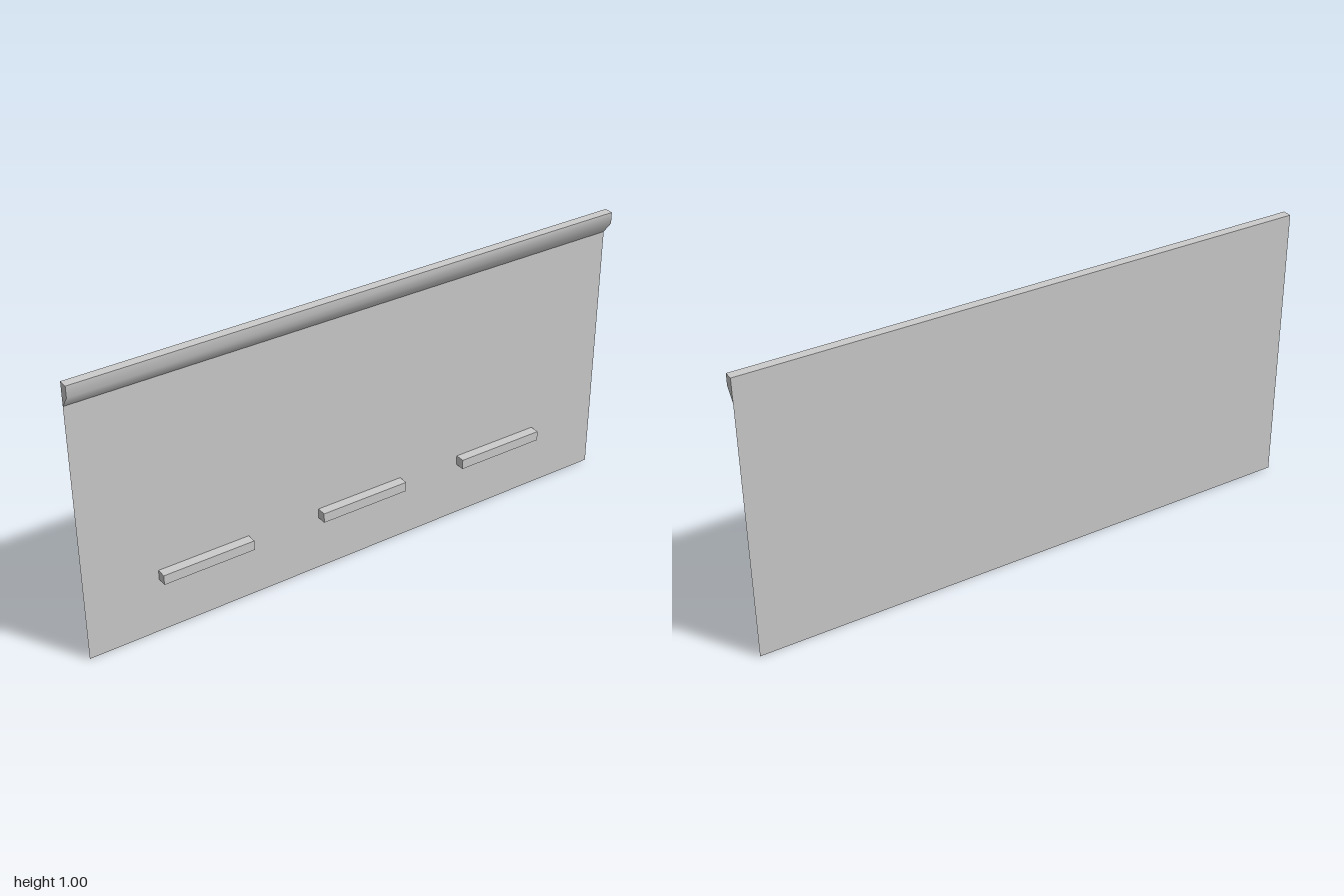
import * as THREE from 'three';

const BACK = -0.017;
const TRIM_FRONT = 0.015;

export function createModel() {
  const model = new THREE.Group();
  const grey = new THREE.MeshStandardMaterial({ color: 0xcccccc, side: THREE.DoubleSide });
  grey.name = 'plain grey';

  const add = (name, geometry, parent = model) => {
    const mesh = new THREE.Mesh(geometry, grey);
    mesh.name = name;
    parent.add(mesh);
    return mesh;
  };

  // Thin flat panel
  add('panel', new THREE.PlaneGeometry(2, 1).translate(0, 0.5, BACK));

  // Top trim: profile points as [z, y], from the top down
  const trim = new THREE.Group();
  trim.name = 'topTrim';
  model.add(trim);
  const profile = [[TRIM_FRONT, 1], [TRIM_FRONT, 0.96], [BACK, 0.917]];

  // Front of the trim, smoothly shaded across its bend
  const face = new THREE.PlaneGeometry(2, 1, 1, 2);
  const pos = face.attributes.position;
  for (let i = 0; i < pos.count; i++) {
    const [z, y] = profile[Math.floor(i / 2)];
    pos.setXYZ(i, pos.getX(i), y, z);
  }
  face.computeVertexNormals();
  add('trimFace', face, trim);

  // Flat top of the trim
  const depth = TRIM_FRONT - BACK;
  add('trimTop', new THREE.PlaneGeometry(2, depth).rotateX(-Math.PI / 2)
    .translate(0, 1, (TRIM_FRONT + BACK) / 2), trim);

  // End caps of the trim
  for (const side of [-1, 1]) {
    const outline = [...profile, [BACK, 1]].map(([z, y]) => new THREE.Vector2(-side * z, y));
    const cap = new THREE.ShapeGeometry(new THREE.Shape(outline));
    add(side > 0 ? 'trimEndLeft' : 'trimEndRight',
      cap.rotateY(side * Math.PI / 2).translate(side, 0, 0), trim);
  }

  // Three ledges along the lower front
  [-0.58, 0.01, 0.572].forEach((x, i) => {
    add(`ledge${i + 1}`, new THREE.BoxGeometry(0.326, 0.035, 0.034).translate(x, 0.216, 0));
  });

  return model;
}
